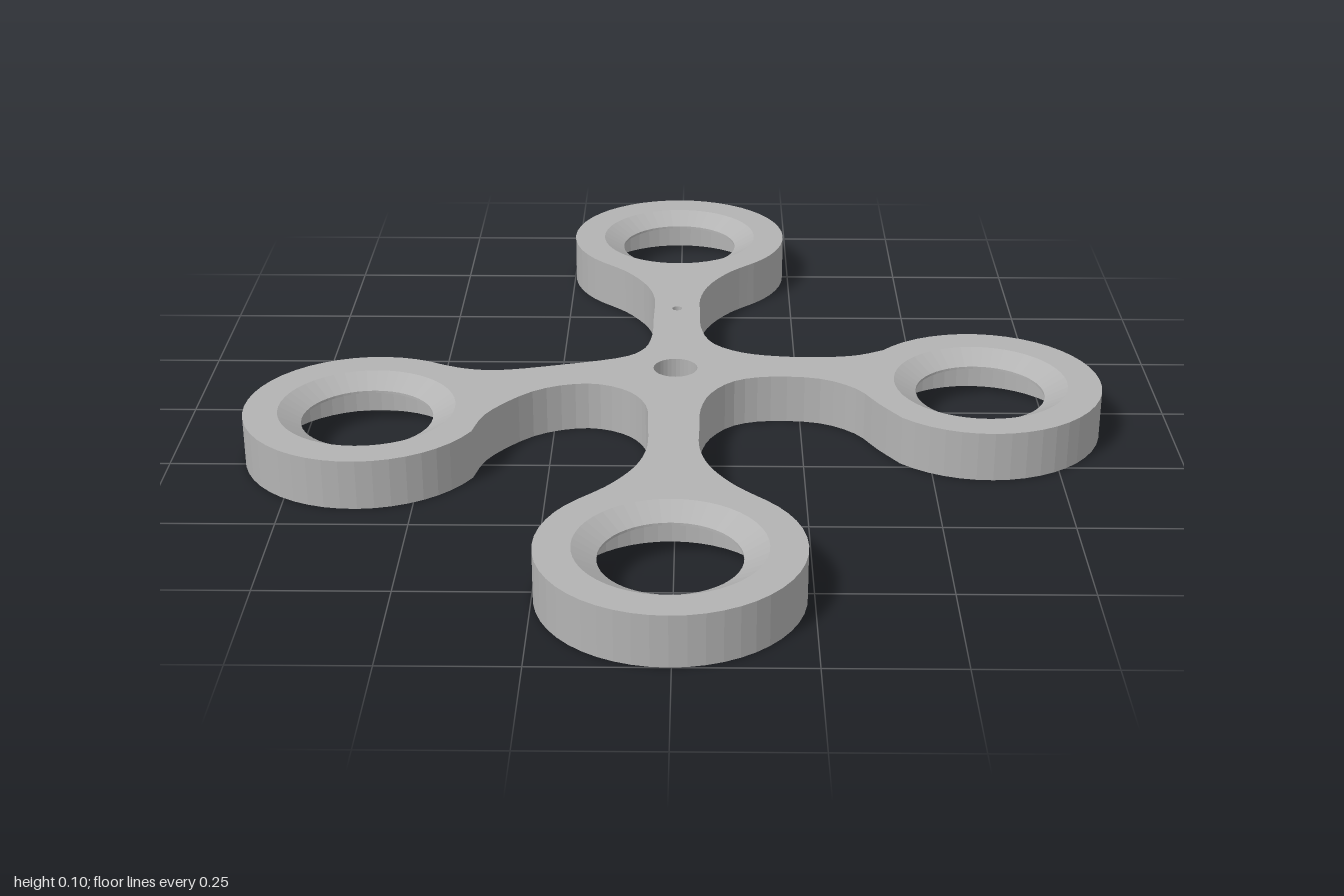
import * as THREE from 'three';

const H = 0.1;          // plate thickness
const RING = 0.243;     // outer radius of each end ring
const SEG = 48;
const V = (x, z) => new THREE.Vector2(x, z);
const rad = THREE.MathUtils.degToRad;

// Rings in order round the plate: centre, arc start and end (degrees),
// then the points of the concave edge leading to the next ring.
const RINGS = [
  { c: [0.613, 0.062], a: [135, -140], edge: [
    [0.37, -0.067], [0.3, -0.057], [0.21, -0.06], [0.13, -0.08], [0.07, -0.13], [0.047, -0.21],
    [0.045, -0.29], [0.045, -0.37], [0.065, -0.45], [0.11, -0.527]] },
  { c: [-0.005, -0.757], a: [45, -225], edge: [
    [-0.12, -0.527], [-0.075, -0.45], [-0.055, -0.37], [-0.055, -0.27], [-0.057, -0.16],
    [-0.075, -0.09], [-0.125, -0.048], [-0.25, -0.01], [-0.36, 0.015], [-0.43, 0.01]] },
  { c: [-0.613, 0.195], a: [-57.6, -333.4], edge: [
    [-0.37, 0.215], [-0.285, 0.115], [-0.185, 0.08], [-0.105, 0.11], [-0.062, 0.18],
    [-0.055, 0.28], [-0.055, 0.37], [-0.075, 0.45], [-0.12, 0.525]] },
  { c: [-0.005, 0.757], a: [225, -45], edge: [
    [0.11, 0.525], [0.065, 0.45], [0.045, 0.37], [0.045, 0.28], [0.047, 0.2], [0.067, 0.125],
    [0.115, 0.065], [0.19, 0.042], [0.29, 0.052], [0.36, 0.1], [0.4, 0.17]] },
];

const onCircle = (c, r, deg) => V(c[0] + r * Math.cos(rad(deg)), c[1] + r * Math.sin(rad(deg)));

function circle(c, r, n = SEG) {
  return Array.from({ length: n }, (_, i) => onCircle(c, r, (360 * i) / n));
}

// Round-ended slot along z
function slot(x, z0, z1, r, n = 10) {
  const pts = [];
  for (let i = 0; i <= n; i++) pts.push(onCircle([x, z1], r, (180 * i) / n));
  for (let i = 0; i <= n; i++) pts.push(onCircle([x, z0], r, 180 + (180 * i) / n));
  return pts;
}

function outline() {
  const pts = [];
  RINGS.forEach((ring, k) => {
    const next = RINGS[(k + 1) % RINGS.length];
    const [a0, a1] = ring.a;
    for (let i = 0; i <= 36; i++) pts.push(onCircle(ring.c, RING, a0 + ((a1 - a0) * i) / 36));
    const curve = new THREE.SplineCurve([
      onCircle(ring.c, RING, a1),
      ...ring.edge.map(([x, z]) => V(x, z)),
      onCircle(next.c, RING, next.a[0]),
    ]);
    pts.push(...curve.getPoints(36).slice(1, -1));
  });
  return pts;
}

// Flat horizontal face with holes, facing up or down
function face(contour, holes, y, up) {
  const shape = new THREE.Shape(contour);
  shape.holes = holes.map((h) => new THREE.Path(h));
  const g = new THREE.ShapeGeometry(shape).rotateX(Math.PI / 2).translate(0, y, 0);
  if (up) g.setIndex(Array.from(g.index.array).reverse());
  g.computeVertexNormals();
  return g;
}

// Vertical wall along a closed loop (a loop of rising angle faces inward)
function wall(loop, y0, y1) {
  const pos = [];
  loop.forEach((a, i) => {
    const b = loop[(i + 1) % loop.length];
    pos.push(a.x, y0, a.y, b.x, y0, b.y, b.x, y1, b.y);
    pos.push(a.x, y0, a.y, b.x, y1, b.y, a.x, y1, a.y);
  });
  const g = new THREE.BufferGeometry();
  g.setAttribute('position', new THREE.Float32BufferAttribute(pos, 3));
  g.computeVertexNormals();
  return g;
}

export function createModel() {
  const group = new THREE.Group();
  const grey = new THREE.MeshStandardMaterial({ color: 0xb3b3b3, flatShading: true });
  grey.name = 'grey';
  const add = (name, geometry) => {
    const mesh = new THREE.Mesh(geometry, grey);
    mesh.name = name;
    group.add(mesh);
    return mesh;
  };

  const edge = outline();
  const hub = circle([-0.005, 0], 0.045, 32);
  const pin = circle([-0.005, -0.315], 0.011, 16);
  const groove = slot(-0.005, -0.47, -0.315, 0.024);
  const dimple = circle([-0.005, 0.16], 0.022, 24);
  const recess = 0.05;

  // Four-armed plate
  add('plateTop', face(edge, [hub, pin, ...RINGS.map((r) => circle(r.c, 0.175))], H, true));
  add('plateBottom', face(edge, [hub, groove, dimple, ...RINGS.map((r) => circle(r.c, 0.197))], 0, false));
  add('plateEdge', wall(edge, 0, H));

  // Centre hole, and the blind recesses under the arms
  add('hubHole', wall(hub, 0, H));
  add('grooveWall', wall(groove, 0, recess));
  add('grooveCeiling', face(groove, [pin], recess, false));
  add('pinHole', wall(pin, recess, H));
  add('dimpleWall', wall(dimple, 0, recess));
  add('dimpleCeiling', face(dimple, [], recess, false));

  // Ring sockets: bevelled opening above, wide pocket below
  const profile = [V(0.175, H), V(0.13, 0.075), V(0.13, 0.07), V(0.197, 0.07), V(0.197, 0)];
  const socket = new THREE.LatheGeometry(profile, SEG);
  RINGS.forEach((r) => add('ringSocket', socket).position.set(r.c[0], 0, r.c[1]));

  return group;
}
